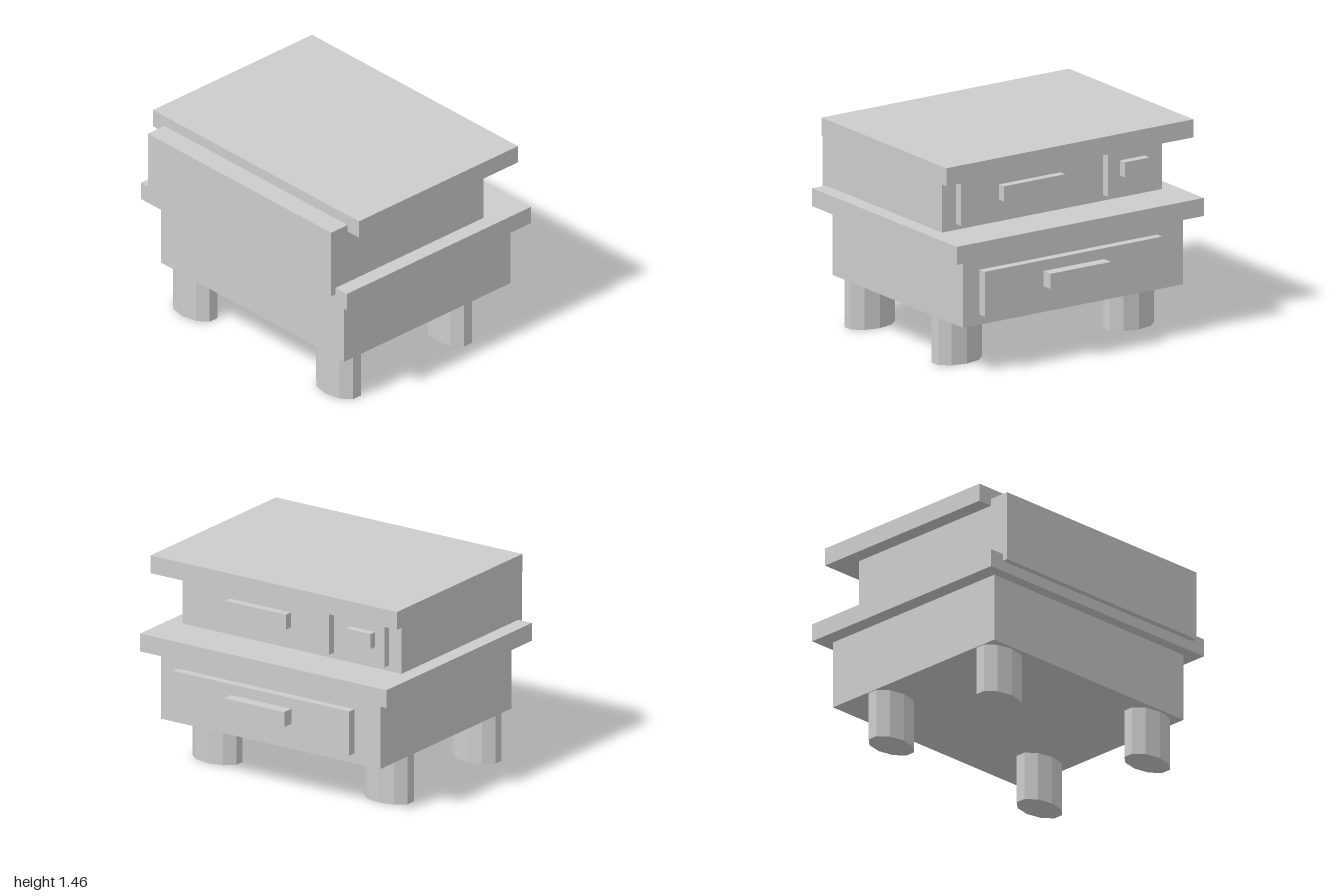
import * as THREE from 'three';

const grey = new THREE.MeshStandardMaterial({ color: 0xcccccc });
grey.name = 'grey';
grey.flatShading = true;

// Box given by its extents along each axis
function box(name, [x0, x1], [y0, y1], [z0, z1]) {
  const mesh = new THREE.Mesh(new THREE.BoxGeometry(x1 - x0, y1 - y0, z1 - z0), grey);
  mesh.position.set((x0 + x1) / 2, (y0 + y1) / 2, (z0 + z1) / 2);
  mesh.name = name;
  return mesh;
}

// Drawer front with its handle, facing -z
function drawer(name, frontX, handleX, y, zBody, zFront, zHandle) {
  const group = new THREE.Group();
  group.name = name;
  group.add(
    box('drawerFront', frontX, [y, y + 0.31], [zFront, zBody + 0.02]),
    box('drawerHandle', handleX, [y + 0.13, y + 0.235], [zHandle, zFront]),
  );
  return group;
}

export function createModel() {
  const model = new THREE.Group();
  model.name = 'drawerCabinet';

  // Two stacked cases, each with an overhanging board
  model.add(
    box('lowerCase', [-0.89, 0.89], [0.34, 0.82], [-0.745, 0.765]),
    box('middleBoard', [-1, 1], [0.815, 0.94], [-0.83, 0.845]),
    box('upperCase', [-0.89, 0.89], [0.89, 1.38], [-0.5, 0.885]),
    box('topBoard', [-1, 1], [1.33, 1.455], [-0.71, 0.735]),
  );

  // Drawers: one wide below, a large and a small one above
  model.add(
    drawer('lowerDrawer', [-0.68, 0.755], [-0.21, 0.28], 0.41, -0.745, -0.805, -0.885),
    drawer('upperLargeDrawer', [-0.34, 0.775], [-0.03, 0.465], 0.98, -0.5, -0.555, -0.61),
    drawer('upperSmallDrawer', [-0.79, -0.415], [-0.715, -0.515], 0.98, -0.5, -0.555, -0.61),
  );

  // Ten-sided legs, oval in plan
  const legShape = new THREE.CylinderGeometry(1, 1, 0.34, 10).scale(0.187, 1, 0.118);
  for (const x of [-0.705, 0.687]) {
    for (const z of [-0.382, 0.627]) {
      const leg = new THREE.Mesh(legShape, grey);
      leg.position.set(x, 0.17, z);
      leg.name = 'leg';
      model.add(leg);
    }
  }
  return model;
}
